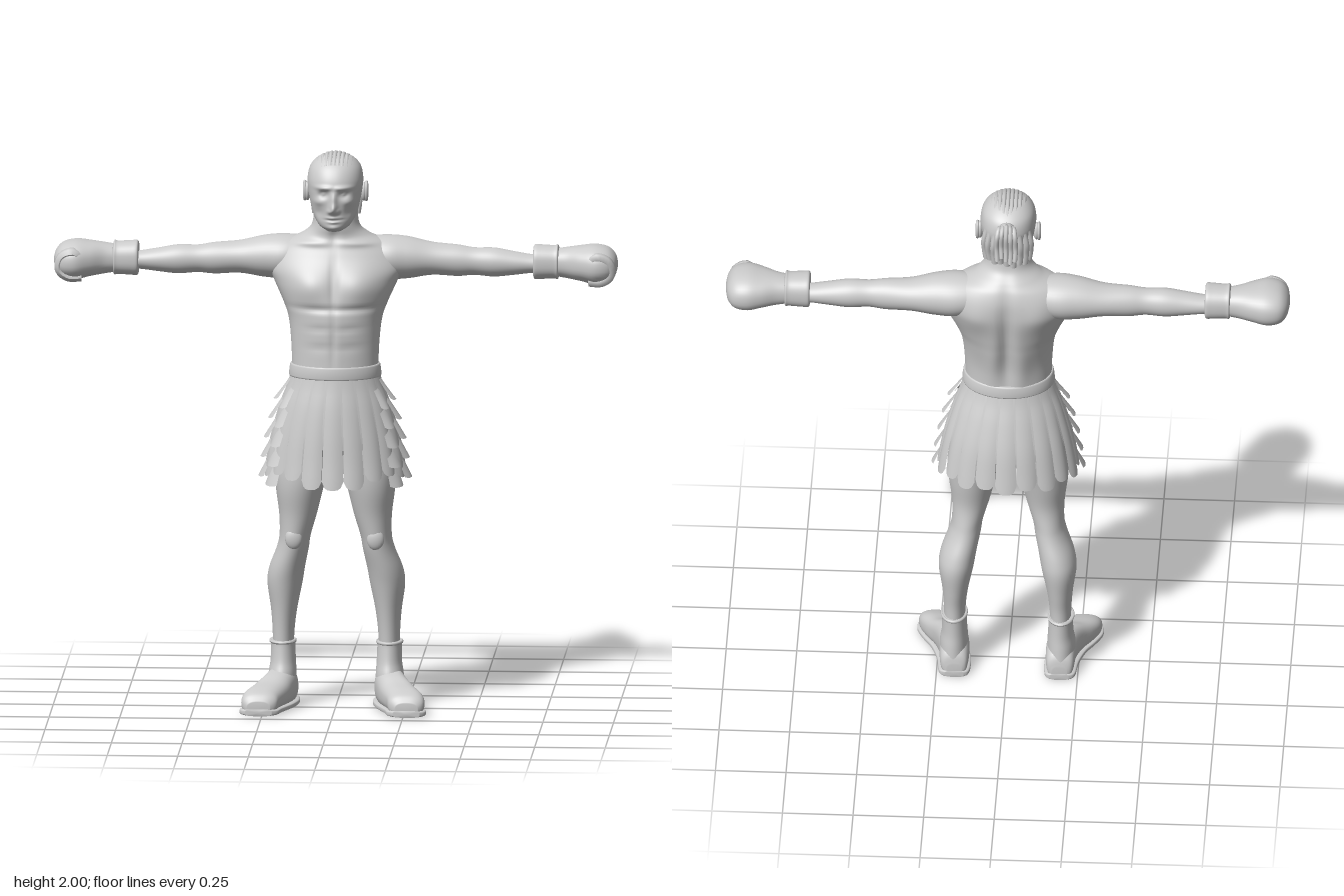
import * as THREE from 'three';

const grey = new THREE.MeshStandardMaterial({ color: 0xcccccc, side: THREE.DoubleSide });
grey.name = 'plain grey';

// Smooth interpolation through rows of numbers, k in 0..1
function sampleRows(rows, k) {
  const f = k * (rows.length - 1), i = Math.min(Math.floor(f), rows.length - 2), s = f - i;
  const p = n => rows[Math.max(0, Math.min(rows.length - 1, n))];
  return rows[i].map((b, c) => {
    const a = p(i - 1)[c], d = p(i + 1)[c], e = p(i + 2)[c];
    return b + 0.5 * s * (d - a + s * (2 * a - 5 * b + 4 * d - e + s * (3 * (b - d) + e - a)));
  });
}

// Closed body from cross-sections along an axis. Rows: [t, uMin, uMax, vMin, vMax]
// with (t,u,v) = (x,y,z), (y,z,x) or (z,x,y), t ascending.
function loft(axis, rows, { seg = 40, sub = 5, power = 2, capped = true, move } = {}) {
  const n = (rows.length - 1) * sub, pos = [], idx = [];
  const ax = { x: 0, y: 1, z: 2 }[axis];
  const put = (t, u, v) => {
    const p = [0, 0, 0];
    p[ax] = t; p[(ax + 1) % 3] = u; p[(ax + 2) % 3] = v;
    if (move) move(p);
    pos.push(...p);
  };
  const sp = c => Math.sign(c) * Math.abs(c) ** (2 / power);
  for (let i = 0; i <= n; i++) {
    const [t, u0, u1, v0, v1] = sampleRows(rows, i / n);
    for (let j = 0; j < seg; j++) {
      const a = j / seg * Math.PI * 2;
      put(t, (u0 + u1) / 2 + (u1 - u0) / 2 * sp(Math.cos(a)), (v0 + v1) / 2 + (v1 - v0) / 2 * sp(Math.sin(a)));
      if (i < n) {
        const q = i * seg + j, r = i * seg + (j + 1) % seg;
        idx.push(q, r, r + seg, q, r + seg, q + seg);
      }
    }
  }
  if (capped) [[0, rows[0]], [n, rows[rows.length - 1]]].forEach(([i, w]) => {
    const c = pos.length / 3;
    put(w[0], (w[1] + w[2]) / 2, (w[3] + w[4]) / 2);
    for (let j = 0; j < seg; j++) {
      const q = i * seg + j, r = i * seg + (j + 1) % seg;
      i ? idx.push(c, q, r) : idx.push(c, r, q);
    }
  });
  const g = new THREE.BufferGeometry();
  g.setAttribute('position', new THREE.Float32BufferAttribute(pos, 3));
  g.setIndex(idx);
  g.computeVertexNormals();
  return g;
}

// Mirrored soft bulges on the front (side 1) or back (side -1): [x, y, side, width, height, depth]
const bulges = (list, zMid) => p => {
  const [x, y] = p, w = Math.min(1, Math.abs(p[2] - zMid) / 0.04), side = Math.sign(p[2] - zMid);
  for (const [bx, by, s, sx, sy, d] of list)
    if (s === side) p[2] += s * d * w * Math.exp(-(((Math.abs(x) - bx) / sx) ** 2) - ((y - by) / sy) ** 2);
};
const sym = rows => rows.map(([t, a, b, h]) => [t, a, b, -h, h]);
const tube = (pts, r) => new THREE.TubeGeometry(new THREE.CatmullRomCurve3(pts.map(p => new THREE.Vector3(...p))), 20, r, 7);
const ball = (r, sx, sy, sz, x, y, z) => new THREE.SphereGeometry(r, 20, 14).scale(sx, sy, sz).translate(x, y, z);

// Skirt profile: [y, zBack, zFront, halfWidth], from hem to waist
const skirtRows = [[0.8, -0.19, 0.17, 0.243], [0.9, -0.18, 0.163, 0.233], [1.0, -0.167, 0.157, 0.216],
  [1.1, -0.143, 0.148, 0.19], [1.2, -0.114, 0.134, 0.158]];

// One hanging tongue of cloth wrapped on the skirt profile
function tongue(angle, half, top, bottom, flare, round) {
  const g = new THREE.PlaneGeometry(2, 1, 8, 14), p = g.attributes.position;
  for (let i = 0; i < p.count; i++) {
    const u = p.getX(i), v = 0.5 - p.getY(i);
    const y = top + (bottom + round * u ** 4 - top) * v;
    const [, z0, z1, w] = sampleRows(skirtRows, (y - 0.8) / 0.4);
    const a = angle + u * half * (0.85 + 0.15 * v), o = 0.002 + flare * v + 0.008 * v * (1 - u * u);
    p.setXYZ(i, Math.sin(a) * (w + o), y, (z0 + z1) / 2 + Math.cos(a) * ((z1 - z0) / 2 + o));
  }
  g.computeVertexNormals();
  return g;
}

export function createModel() {
  const model = new THREE.Group();
  model.name = 'boxer';
  const add = (name, g) => {
    const m = new THREE.Mesh(g, grey);
    m.name = name;
    model.add(m);
  };
  const pair = (name, g) => {
    add(name + 'Left', g);
    const m = g.clone().scale(-1, 1, 1), ix = m.index.array;
    for (let i = 0; i < ix.length; i += 3) [ix[i], ix[i + 1]] = [ix[i + 1], ix[i]];
    m.computeVertexNormals();
    add(name + 'Right', m);
  };

  // Torso with chest, belly, shoulder blade and spine relief
  add('torso', loft('y', sym([[1.18, -0.11, 0.13, 0.152], [1.3, -0.115, 0.128, 0.155], [1.4, -0.14, 0.13, 0.165],
    [1.46, -0.155, 0.124, 0.185], [1.53, -0.168, 0.108, 0.217], [1.58, -0.172, 0.09, 0.237], [1.63, -0.17, 0.066, 0.225],
    [1.67, -0.158, 0.048, 0.185], [1.7, -0.138, 0.044, 0.12], [1.74, -0.105, 0.05, 0.083], [1.82, -0.095, 0.05, 0.078]]),
  { seg: 96, sub: 8, move: bulges([[0.09, 1.53, 1, 0.07, 0.06, 0.022], [0, 1.54, 1, 0.012, 0.08, -0.01],
    [0, 1.34, 1, 0.01, 0.1, -0.006], [0.05, 1.45, 1, 0.1, 0.012, -0.008], [0.05, 1.38, 1, 0.05, 0.01, -0.004],
    [0.05, 1.31, 1, 0.05, 0.01, -0.004], [0.09, 1.675, 1, 0.08, 0.012, 0.008], [0, 1.7, 1, 0.018, 0.03, -0.008],
    [0, 1.45, -1, 0.025, 0.2, -0.022], [0.11, 1.57, -1, 0.06, 0.06, 0.012], [0.055, 1.33, -1, 0.03, 0.1, 0.008]], -0.02) }));
  add('pelvis', loft('y', sym([[0.9, -0.06, 0.04, 0.04], [0.95, -0.12, 0.09, 0.13], [1.05, -0.13, 0.11, 0.165],
    [1.2, -0.11, 0.12, 0.15]])));

  // Head with brow, eye, nose, mouth and chin relief
  add('head', loft('y', sym([[1.727, 0.03, 0.095, 0.025], [1.745, -0.02, 0.112, 0.054], [1.78, -0.07, 0.116, 0.076],
    [1.82, -0.1, 0.12, 0.087], [1.87, -0.12, 0.124, 0.096], [1.91, -0.124, 0.12, 0.098], [1.95, -0.11, 0.098, 0.088],
    [1.98, -0.07, 0.062, 0.06], [1.994, -0.02, 0.02, 0.02]]),
  { seg: 128, sub: 10, power: 2.15, move: bulges([[0, 1.812, 1, 0.013, 0.02, 0.028], [0, 1.845, 1, 0.011, 0.025, 0.014],
    [0.014, 1.803, 1, 0.008, 0.008, 0.008], [0.036, 1.862, 1, 0.018, 0.012, -0.014], [0.036, 1.863, 1, 0.009, 0.006, 0.007],
    [0.032, 1.887, 1, 0.03, 0.008, 0.009], [0, 1.779, 1, 0.022, 0.005, 0.008], [0, 1.772, 1, 0.026, 0.003, -0.006],
    [0, 1.764, 1, 0.02, 0.005, 0.007], [0, 1.742, 1, 0.022, 0.012, 0.007], [0.055, 1.835, 1, 0.02, 0.012, 0.006],
    [0.055, 1.795, 1, 0.02, 0.02, -0.008]], 0) }));
  pair('ear', ball(0.03, 0.4, 1.15, 0.7, 0.1, 1.855, -0.012).rotateX(0));
  pair('earRim', new THREE.TorusGeometry(0.021, 0.006, 8, 20).scale(0.8, 1.4, 1).rotateY(Math.PI / 2).translate(0.109, 1.856, -0.014));

  // Hair braided back over the scalp, a tied tuft and loose locks at the nape
  for (let i = -4; i <= 4; i++) {
    const x = i * 0.014, d = 1 - (x / 0.1) ** 2, pts = [];
    for (let k = 0; k <= 6; k++) {
      const a = 0.75 + k * 0.33, s = Math.sqrt(d);
      pts.push([x * (k > 4 ? 0.75 : 1), 1.885 + 0.108 * s * Math.sin(a), -0.003 + 0.118 * s * Math.cos(a)]);
    }
    add('braid', tube(pts, 0.008));
  }
  add('hairTie', new THREE.TorusGeometry(0.024, 0.009, 10, 24).translate(0, 1.93, -0.125));
  add('hairKnot', ball(0.034, 1, 1.0, 0.9, 0, 1.935, -0.14));
  for (let i = -2; i <= 2; i++) {
    const x = i * 0.013, e = 0.006 * (i % 2);
    add('tuftLock', tube([[x * 0.6, 1.935, -0.12], [x, 1.965 - Math.abs(x) / 3, -0.15], [x * 1.2, 1.935 + e, -0.172],
      [x * 1.3, 1.88 + e, -0.168], [x * 1.2, 1.835 + e * 2, -0.177]], 0.0085));
  }
  for (let i = -4; i <= 4; i++) {
    const a = i * 0.27, at = (r, y, c) => [Math.sin(a) * r, y, c - Math.cos(a) * r];
    add('napeLock', tube([at(0.08, 1.9, -0.036), at(0.092, 1.85, -0.028), at(0.09, 1.805, -0.02), at(0.084, 1.768 + 0.008 * (i % 2), -0.02)], 0.012));
  }

  // Arms and boxing gloves
  pair('arm', loft('x', [[0.06, 1.57, 1.68, -0.13, -0.01], [0.17, 1.535, 1.69, -0.152, 0.025], [0.25, 1.535, 1.685, -0.146, 0.015],
    [0.34, 1.548, 1.665, -0.132, -0.004], [0.43, 1.545, 1.657, -0.118, -0.01], [0.49, 1.55, 1.648, -0.108, -0.014],
    [0.56, 1.545, 1.648, -0.11, -0.01], [0.63, 1.552, 1.636, -0.104, -0.014], [0.7, 1.56, 1.625, -0.098, -0.02],
    [0.76, 1.56, 1.625, -0.09, -0.02]]));
  pair('gloveCuff', loft('x', [[0.7, 1.548, 1.655, -0.104, 0.004], [0.706, 1.54, 1.663, -0.11, 0.01], [0.73, 1.541, 1.662, -0.11, 0.01],
    [0.772, 1.543, 1.66, -0.108, 0.008], [0.785, 1.541, 1.663, -0.109, 0.009], [0.79, 1.55, 1.652, -0.1, 0.002]], { power: 2.4 }));
  pair('glove', loft('x', [[0.775, 1.552, 1.648, -0.102, 0.002], [0.82, 1.545, 1.655, -0.11, 0.014], [0.87, 1.537, 1.662, -0.128, 0.042],
    [0.92, 1.527, 1.667, -0.139, 0.062], [0.965, 1.535, 1.657, -0.13, 0.053], [0.99, 1.56, 1.633, -0.1, 0.026],
    [0.999, 1.59, 1.605, -0.05, -0.02]], { power: 2.3 }));
  pair('gloveThumb', tube([[0.9, 1.6, 0.03], [0.925, 1.63, 0.04], [0.965, 1.615, 0.034], [0.975, 1.57, 0.025],
    [0.945, 1.545, 0.022], [0.9, 1.545, 0.015]], 0.02));

  // Legs
  pair('leg', loft('y', [[0.18, -0.115, -0.008, 0.152, 0.224], [0.27, -0.118, 0, 0.148, 0.226], [0.35, -0.132, 0.012, 0.138, 0.232],
    [0.44, -0.146, 0.03, 0.12, 0.244], [0.5, -0.138, 0.043, 0.11, 0.236], [0.57, -0.113, 0.056, 0.096, 0.21],
    [0.62, -0.102, 0.064, 0.088, 0.199], [0.7, -0.095, 0.075, 0.065, 0.2], [0.8, -0.112, 0.095, 0.04, 0.212],
    [0.9, -0.128, 0.1, 0.012, 0.212], [1.05, -0.13, 0.1, 0.002, 0.175]]));
  pair('kneecap', ball(0.034, 0.9, 1.15, 0.5, 0.145, 0.615, 0.052));

  // Boots
  const foot = [[-0.13, 0.16, 0.212, 0.004, 0.05], [-0.113, 0.14, 0.235, 0, 0.1], [-0.04, 0.136, 0.245, 0, 0.14], [0.03, 0.15, 0.268, 0, 0.128],
    [0.08, 0.168, 0.298, 0, 0.106], [0.13, 0.187, 0.322, 0, 0.092], [0.17, 0.198, 0.322, 0, 0.076], [0.19, 0.222, 0.302, 0.004, 0.05]];
  pair('bootFoot', loft('z', foot, { power: 2.5 }));
  pair('bootSole', loft('z', foot.map(([z, a, b]) => [z * 1.02, a - 0.006, b + 0.006, 0, 0.024]), { power: 4 }));
  pair('bootShaft', loft('y', [[0.04, -0.128, 0.03, 0.14, 0.24], [0.11, -0.124, 0.03, 0.14, 0.24], [0.16, -0.12, 0.014, 0.143, 0.233],
    [0.215, -0.121, 0.006, 0.145, 0.232], [0.235, -0.123, 0.006, 0.143, 0.235]]));
  pair('bootRim', new THREE.TorusGeometry(1, 0.1, 8, 40).rotateX(Math.PI / 2).scale(0.044, 0.06, 0.063).translate(0.189, 0.23, -0.058));

  // Belt and skirt of hanging tongues, with layered tabs on both hips
  add('belt', loft('y', sym([[1.198, -0.116, 0.136, 0.16], [1.203, -0.12, 0.14, 0.164], [1.238, -0.117, 0.139, 0.16],
    [1.243, -0.112, 0.135, 0.155]]), { sub: 2, seg: 64 }));
  add('skirt', loft('y', sym([[0.95, -0.17, 0.156, 0.22], ...skirtRows.slice(2)]), { capped: false, seg: 64 }));
  const count = 20;
  for (let i = 0; i < count; i++) {
    const a = i / count * Math.PI * 2, c = Math.cos(a);
    const hem = c > 0.9 ? 0.812 : 0.84 + 0.012 * (i % 2);
    add('skirtTongue', tongue(a, 0.155, 1.2, hem, i % 2 ? 0.003 : 0.007, 0.03));
  }
  for (const s of [-1, 1]) for (let t = 0; t < 5; t++) {
    const top = 1.19 - t * 0.07;
    add('hipTab', tongue(s * 1.42, 0.15 + t * 0.012, top, top - 0.075, 0.024, 0.006));
    add('hipTab', tongue(s * 1.05, 0.12 + t * 0.012, top - 0.03, top - 0.1, 0.016, 0.006));
  }
  return model;
}
